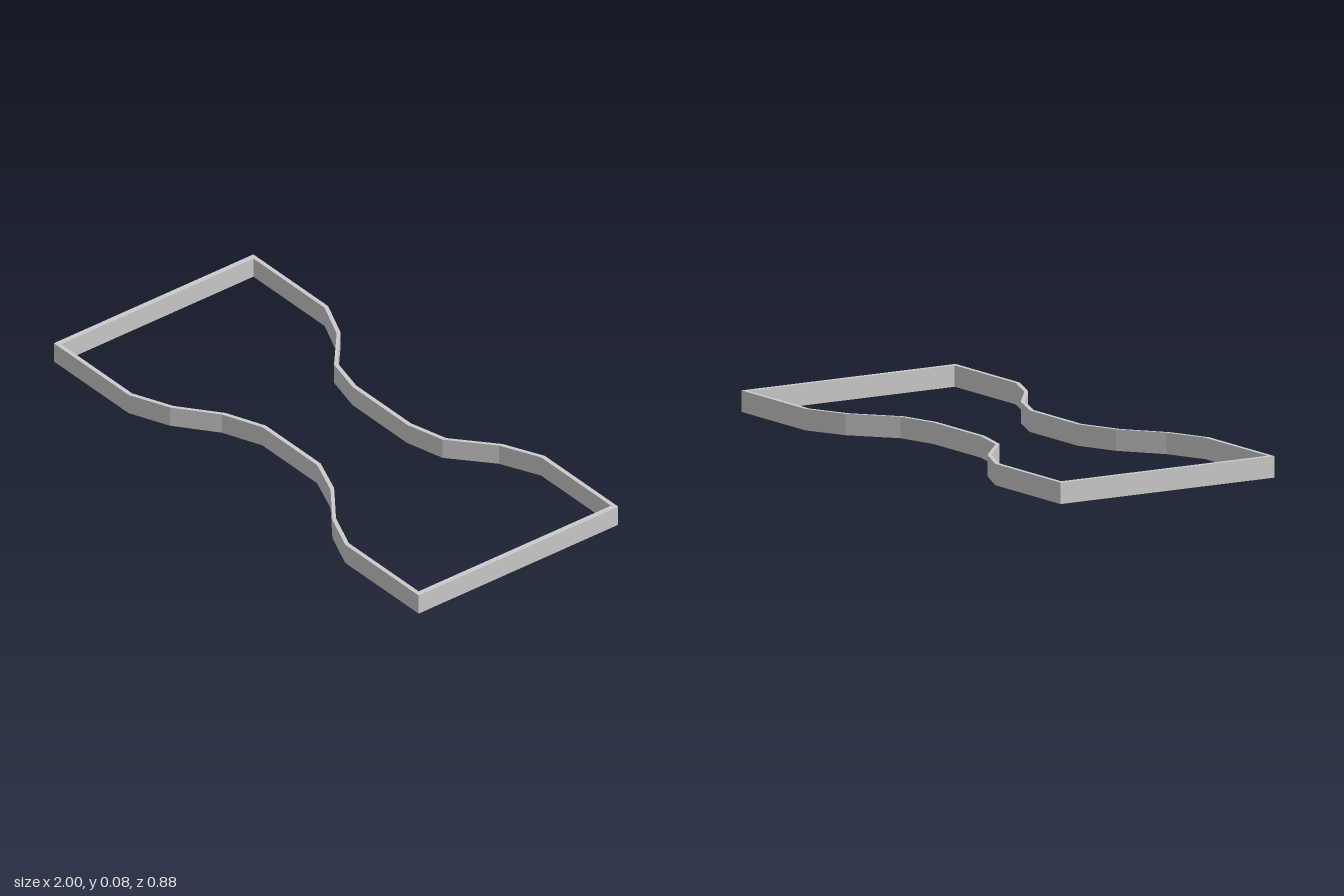
import * as THREE from 'three';

const HEIGHT = 0.075;
const SIDE_WALL = 0.016; // wall thickness measured along z
const END_WALL = 0.02;   // thickness of the straight end walls

// Half-widths along x: wide ends tapering to a narrow waist
const xs = [-1, -0.59, -0.44, -0.295, -0.147, 0.153, 0.3, 0.45, 0.597, 1];
const frontZ = [0.438, 0.438, 0.376, 0.264, 0.205];
const backZ = [0.44, 0.44, 0.373, 0.245, 0.208];

// Closed loop around the frame; shape y is -z
function outline(insetX, insetZ) {
  const side = (half, sign) => xs.map((x, i) => new THREE.Vector2(
    THREE.MathUtils.clamp(x, -1 + insetX, 1 - insetX),
    sign * (half[Math.min(i, xs.length - 1 - i)] - insetZ)));
  return [...side(frontZ, -1), ...side(backZ, 1).reverse()];
}

export function createModel() {
  const group = new THREE.Group();
  group.name = 'waistedFrame';

  // Thin upright wall, open through the middle
  const shape = new THREE.Shape(outline(0, 0));
  shape.holes.push(new THREE.Path(outline(END_WALL, SIDE_WALL)));
  const geometry = new THREE.ExtrudeGeometry(shape, { depth: HEIGHT, bevelEnabled: false });
  geometry.rotateX(-Math.PI / 2);

  const wall = new THREE.Mesh(geometry,
    new THREE.MeshStandardMaterial({ color: 0xcccccc, flatShading: true }));
  wall.name = 'frameWall';
  group.add(wall);
  return group;
}
